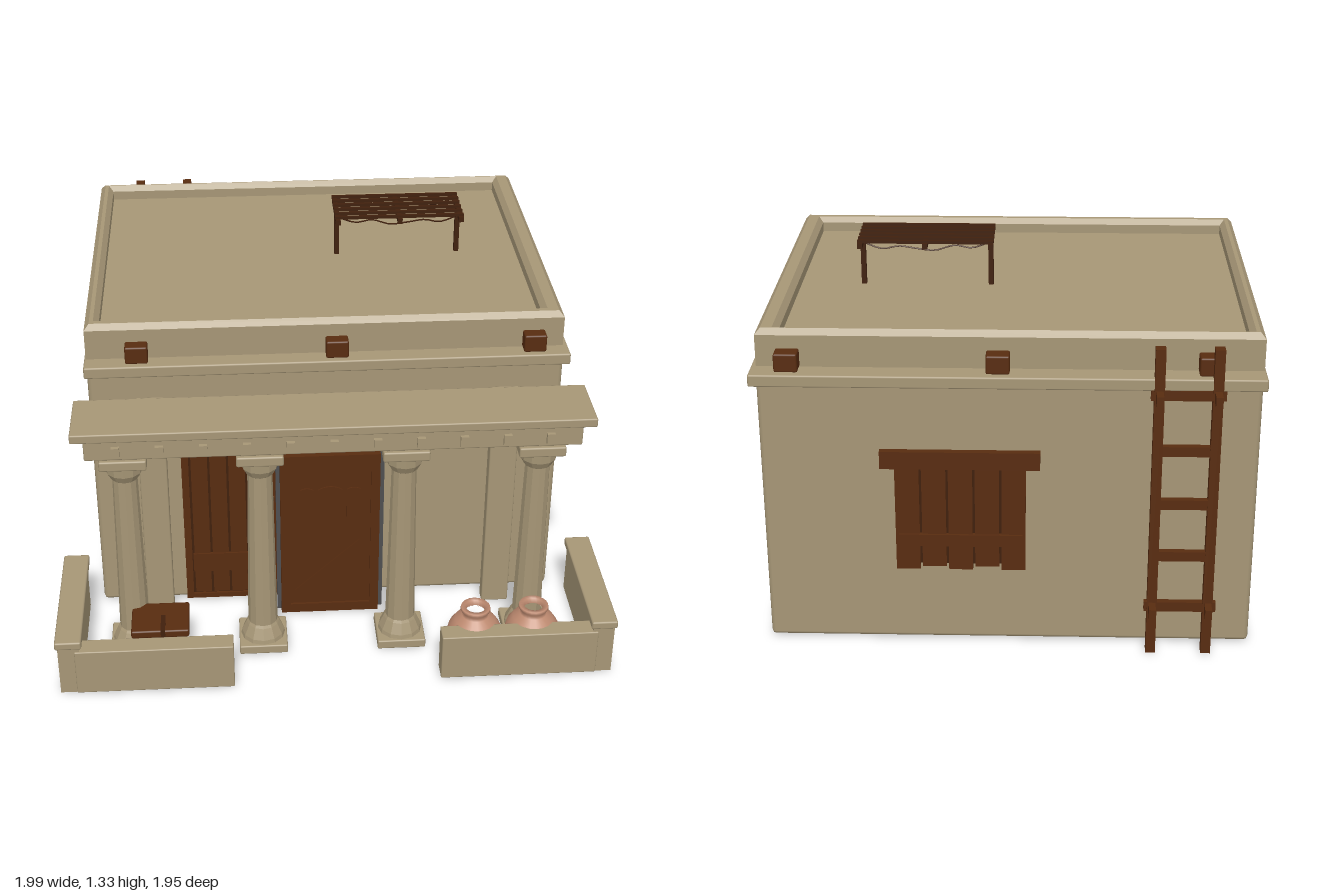
import * as THREE from 'three';
import { RoundedBoxGeometry } from 'three/addons/geometries/RoundedBoxGeometry.js';

const mat = (name, hex) => {
  const m = new THREE.MeshStandardMaterial({ color: hex });
  m.name = name;
  return m;
};

export function createModel() {
  const model = new THREE.Group();
  model.name = 'adobeHouse';
  const sand = mat('sandstone', 0xa69676);
  const wood = mat('brownWood', 0x582c10);
  const darkWood = mat('darkWood', 0x40200c);
  const clay = mat('clay', 0xbe8a70);
  const slate = mat('slate', 0x4e4e50);

  const add = (name, geo, material, parent = model) => {
    const mesh = new THREE.Mesh(geo, material);
    mesh.name = name;
    parent.add(mesh);
    return mesh;
  };
  // Box from its limits; a bevel rounds the edges slightly
  const box = (name, x0, x1, y0, y1, z0, z1, material, parent = model, bevel = 0) => {
    const s = [x1 - x0, y1 - y0, z1 - z0];
    const geo = bevel ? new RoundedBoxGeometry(...s, 1, bevel) : new THREE.BoxGeometry(...s);
    const mesh = add(name, geo, material, parent);
    mesh.position.set((x0 + x1) / 2, (y0 + y1) / 2, (z0 + z1) / 2);
    return mesh;
  };
  const group = (name, x = 0, y = 0, z = 0, turn = 0) => {
    const g = new THREE.Group();
    g.name = name;
    g.position.set(x, y, z);
    g.rotation.y = turn;
    model.add(g);
    return g;
  };
  const rect = (Type, x0, x1, y0, y1) => new Type([
    new THREE.Vector2(x0, y0), new THREE.Vector2(x1, y0),
    new THREE.Vector2(x1, y1), new THREE.Vector2(x0, y1)]);
  const flatLathe = (points, sides) => {
    const geo = new THREE.LatheGeometry(points.map(p => new THREE.Vector2(...p)), sides).toNonIndexed();
    geo.computeVertexNormals();
    return geo;
  };

  // House body, cornice and roof
  box('houseBody', -0.86, 0.845, 0.005, 1.03, -0.84, 0.43, sand, model, 0.015);
  box('cornice', -0.866, 0.858, 1.01, 1.053, -0.92, 0.488, sand, model, 0.006);
  const rim = rect(THREE.Shape, -0.86, 0.84, -0.42, 0.84);
  rim.holes.push(rect(THREE.Path, -0.81, 0.765, -0.365, 0.8));
  const rimGeo = new THREE.ExtrudeGeometry(rim, {
    depth: 0.125, bevelSize: 0.018, bevelThickness: 0.02, bevelOffset: -0.018, bevelSegments: 1 });
  rimGeo.rotateX(-Math.PI / 2);
  add('parapet', rimGeo, sand).position.y = 1.04;
  box('roofFloor', -0.83, 0.81, 1.04, 1.13, -0.82, 0.39, sand);

  // Roof beam ends, front and back
  for (const x of [-0.68, 0.028, 0.733]) {
    box('frontBeamEnd', x - 0.04, x + 0.04, 1.053, 1.118, 0.38, 0.467, wood, model, 0.006);
    box('backBeamEnd', x - 0.04, x + 0.04, 1.053, 1.118, -0.895, -0.8, wood, model, 0.006);
  }

  // Porch lintel with a row of small blocks
  box('porchSlab', -0.9, 0.895, 0.945, 0.978, 0.574, 0.813, sand, model, 0.005);
  box('porchBeam', -0.858, 0.853, 0.862, 0.945, 0.605, 0.79, sand, model, 0.005);
  for (let i = 0; i < 11; i++) {
    const x = -0.75 + i * 0.149;
    box('beamBlock', x - 0.014, x + 0.014, 0.877, 0.917, 0.78, 0.805, sand);
  }

  // Columns
  for (const x of [-0.73, -0.26, 0.247, 0.72]) {
    const column = group('column', x, 0, 0.7);
    box('columnPlinth', -0.088, 0.088, 0, 0.035, -0.088, 0.088, sand, column, 0.005);
    add('columnShaft', flatLathe([
      [0.082, 0.03], [0.078, 0.05], [0.06, 0.09], [0.054, 0.1],
      [0.044, 0.74], [0.046, 0.755]], 12), sand, column);
    add('capitalBowl', flatLathe([
      [0.04, 0.735], [0.05, 0.742], [0.065, 0.77], [0.067, 0.815]], 12), sand, column);
    box('capitalBlock', -0.082, 0.082, 0.81, 0.848, -0.082, 0.082, sand, column, 0.006);
    box('capitalTop', -0.068, 0.068, 0.845, 0.866, -0.068, 0.068, sand, column);
  }

  // Free-standing pilasters behind the columns
  for (const x of [-0.64, 0.63])
    box('pilaster', x - 0.05, x + 0.05, 0.005, 0.925, 0.478, 0.528, sand, model, 0.005);

  // Low porch walls
  for (const s of [-1, 1]) {
    const x = s * 0.95;
    box('porchSideWall', x - 0.038, x + 0.038, 0.005, 0.2, 0.46, 0.965, sand);
    box('sideWallCap', x - 0.047, x + 0.047, 0.198, 0.228, 0.443, 0.972, sand, model, 0.006);
    const a = s * 0.37, b = s * 0.93;
    box('porchFrontWall', Math.min(a, b), Math.max(a, b), 0.005, 0.185, 0.9, 0.972, sand, model, 0.004);
  }

  // Main door with slate surround
  const surround = new THREE.Shape();
  surround.moveTo(-0.2, 0.003);
  surround.lineTo(0.197, 0.003);
  surround.lineTo(0.197, 0.705);
  surround.quadraticCurveTo(0.197, 0.727, 0.175, 0.727);
  surround.lineTo(-0.178, 0.727);
  surround.quadraticCurveTo(-0.2, 0.727, -0.2, 0.705);
  add('doorSurround', new THREE.ExtrudeGeometry(surround, { depth: 0.025, bevelEnabled: false }), slate)
    .position.z = 0.5;
  const leaf = rect(THREE.Shape, -0.185, 0.18, 0.003, 0.7);
  leaf.holes.push(rect(THREE.Path, -0.15, 0.147, 0.04, 0.665));
  add('doorFrame', new THREE.ExtrudeGeometry(leaf, { depth: 0.03, bevelEnabled: false }), wood)
    .position.z = 0.522;
  box('doorPanel', -0.16, 0.157, 0.03, 0.68, 0.52, 0.543, wood);
  for (const [x, w, lift] of [[-0.088, 0.05, 0], [-0.002, 0.09, 0.012], [0.084, 0.05, 0]]) {
    const pane = new THREE.Shape();
    pane.moveTo(-w / 2, 0.43);
    pane.lineTo(w / 2, 0.43);
    pane.lineTo(w / 2, 0.55);
    pane.quadraticCurveTo(0, 0.565 + lift, -w / 2, 0.55);
    add('doorPane', new THREE.ExtrudeGeometry(pane, { depth: 0.005, bevelEnabled: false }), wood)
      .position.set(x, 0, 0.543);
  }
  const brace = box('doorBrace', -0.165, 0.165, 0.18, 0.22, 0.54, 0.548, wood);
  brace.rotation.z = 0.75;

  // Plank door, facing its own +z
  const plankDoor = (x, z, turn, width) => {
    const door = group('plankDoor', x, 0, z, turn);
    const w = width / 2, n = 5, step = (width - 0.06) / n;
    box('doorBacking', -w + 0.01, w - 0.01, 0.01, 0.84, -0.01, 0.002, darkWood, door);
    for (const s of [-1, 1])
      box('doorJamb', s * (w - 0.013) - 0.013, s * (w - 0.013) + 0.013, 0.005, 0.855, -0.01, 0.011, wood, door);
    box('doorHead', -w, w, 0.828, 0.855, -0.01, 0.011, wood, door);
    box('doorSill', -w, w, 0.005, 0.025, -0.01, 0.011, wood, door);
    for (let i = 0; i < n; i++) {
      const px = -w + 0.03 + (i + 0.5) * step;
      box('doorPlank', px - step * 0.44, px + step * 0.44, 0.03, 0.82, -0.01, 0.006, wood, door);
    }
    for (const y of [0.17, 0.72])
      box('doorCrossbar', -w + 0.03, w - 0.03, y - 0.04, y + 0.04, 0, 0.012, wood, door);
    box('doorHandle', w - 0.068, w - 0.055, 0.37, 0.46, 0, 0.02, wood, door);
  };
  plankDoor(0.846, -0.547, Math.PI / 2, 0.325);
  plankDoor(-0.34, 0.431, 0, 0.405);

  // Narrow side window frame
  const frame = rect(THREE.Shape, -0.055, 0.055, 0.31, 0.8);
  frame.holes.push(rect(THREE.Path, -0.034, 0.034, 0.335, 0.77));
  const sideWindow = group('sideWindow', 0.838, 0, 0.155, Math.PI / 2);
  add('windowFrame', new THREE.ExtrudeGeometry(frame, { depth: 0.022, bevelEnabled: false }), wood, sideWindow);

  // Back shutters
  const shutters = group('backShutters', 0.16, 0, -0.84, Math.PI);
  box('shutterBacking', -0.21, 0.21, 0.31, 0.74, -0.01, 0.004, darkWood, shutters);
  for (let i = 0; i < 5; i++) {
    const px = -0.184 + i * 0.092;
    box('shutterPlank', px - 0.042, px + 0.042, 0.29 + 0.012 * (i % 2), 0.75, -0.01, 0.012, wood, shutters);
  }
  box('shutterTopBar', -0.275, 0.275, 0.685, 0.75, 0, 0.024, wood, shutters);
  box('shutterLowBar', -0.215, 0.215, 0.385, 0.43, 0, 0.02, wood, shutters);

  // Ladder at the back
  for (const x of [-0.702, -0.508]) {
    box('ladderPost', x - 0.017, x + 0.017, 0.005, 1.16, -0.925, -0.89, wood);
    for (const y of [0.19, 0.995])
      box('ladderPeg', x - 0.012, x + 0.012, y - 0.018, y + 0.018, -0.975, -0.9, wood);
  }
  [0.19, 0.39, 0.59, 0.79, 0.995].forEach((y, i) => {
    const e = i % 4 ? 0 : 0.03;
    box('ladderRung', -0.7 - e, -0.51 + e, y - 0.018, y + 0.018, -0.922, -0.9, wood);
  });

  // Drying rack on the roof
  for (const x of [0.073, 0.537])
    box('rackPost', x - 0.009, x + 0.009, 1.12, 1.31, -0.24, -0.222, darkWood);
  for (const x of [0.071, 0.305, 0.537])
    box('rackCrossbar', x - 0.009, x + 0.009, 1.3, 1.32, -0.345, -0.115, darkWood);
  for (let i = 0; i < 6; i++) {
    const z = -0.33 + i * 0.039;
    box('rackSlat', 0.06, 0.547, 1.317, 1.328, z - 0.006, z + 0.006, darkWood);
  }
  for (const z of [-0.31, -0.15]) {
    const sag = new THREE.CatmullRomCurve3([[0.08, 1.315], [0.14, 1.295], [0.2, 1.305], [0.27, 1.285],
      [0.34, 1.292], [0.4, 1.3], [0.46, 1.29], [0.53, 1.315]].map(p => new THREE.Vector3(p[0], p[1], z)));
    add('rackCord', new THREE.TubeGeometry(sag, 20, 0.003, 5), darkWood);
  }

  // Storage chest
  box('chestBody', -0.72, -0.54, 0.005, 0.17, 0.73, 0.875, wood);
  box('chestLid', -0.733, -0.527, 0.17, 0.2, 0.72, 0.887, wood, model, 0.006);
  box('chestLatch', -0.628, -0.612, 0.13, 0.204, 0.8, 0.889, darkWood);

  // Clay pots
  const potGeo = new THREE.LatheGeometry([
    [0, 0.004], [0.05, 0.005], [0.075, 0.035], [0.097, 0.09], [0.101, 0.12], [0.094, 0.155],
    [0.072, 0.188], [0.048, 0.206], [0.042, 0.215], [0.054, 0.23], [0.052, 0.24],
    [0.036, 0.24], [0.034, 0.22]].map(p => new THREE.Vector2(...p)), 20);
  for (const x of [0.5, 0.71]) add('clayPot', potGeo, clay).position.set(x, 0, 0.866);

  return model;
}
